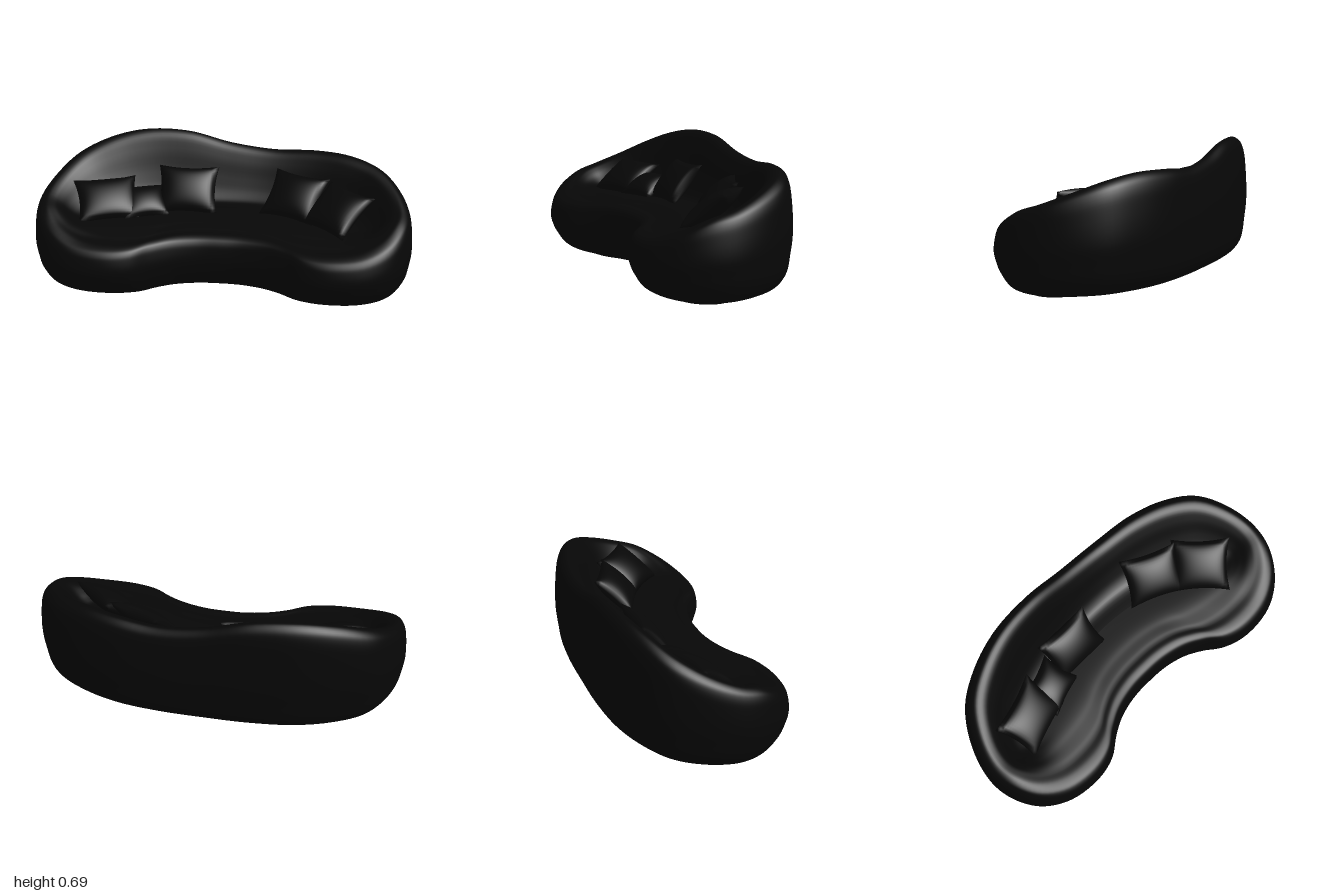
import * as THREE from 'three';
import { mergeVertices } from 'three/addons/utils/BufferGeometryUtils.js';

const material = new THREE.MeshStandardMaterial({ color: 0x070707 });

// Plan outline of one half: x, z, rim height on the +x side, rim height on the -x side
const half = [
  [0, -0.45, 0.615, 0.615], [0.25, -0.447, 0.587, 0.675], [0.5, -0.42, 0.6, 0.687],
  [0.7, -0.355, 0.6, 0.655], [0.86, -0.255, 0.57, 0.595], [0.96, -0.095, 0.515, 0.52],
  [1, 0.08, 0.46, 0.46], [0.975, 0.22, 0.425, 0.425], [0.895, 0.345, 0.37, 0.37],
  [0.76, 0.425, 0.325, 0.325], [0.58, 0.446, 0.31, 0.31], [0.45, 0.415, 0.31, 0.31],
  [0.35, 0.345, 0.315, 0.315], [0.25, 0.292, 0.32, 0.32], [0.12, 0.26, 0.32, 0.32],
  [0, 0.254, 0.32, 0.32],
];
const outline = new THREE.CatmullRomCurve3([
  ...half.map(([x, z, h]) => new THREE.Vector3(x, h, z)),
  ...half.slice(1, -1).reverse().map(([x, z, , h]) => new THREE.Vector3(-x, h, z)),
], true);

// Cross-section: t runs from outline (0) to the curved spine (1); height = k * rim + c
const section = new THREE.CatmullRomCurve3([
  [1, 0, 0.018], [0.6, 0, 0.018], [0.3, 0, 0.02], [0.16, 0, 0.045], [0.07, 0, 0.1],
  [0.025, 0.2, 0.08], [0, 0.4, 0.06], [0.015, 0.7, 0.025], [0.045, 0.88, 0.005],
  [0.09, 0.96, 0], [0.18, 1, 0], [0.28, 0.96, 0.012], [0.38, 0.75, 0.084],
  [0.5, 0.4, 0.2], [0.62, 0.12, 0.295], [0.74, 0, 0.335], [1, 0, 0.335],
].map((p) => new THREE.Vector3(...p)));

// Point on the plan between the outline and the spine
function inset(p, t) {
  const sx = p.x * 0.65;
  const sz = -0.1 + 0.43 * sx * sx;
  return [THREE.MathUtils.lerp(p.x, sx, t), THREE.MathUtils.lerp(p.z, sz, t)];
}

function bodyGeometry(around = 160, rings = 80) {
  const rim = outline.getPoints(around).slice(0, around);
  const positions = [];
  const index = [];
  for (let j = 0; j <= rings; j++) {
    const s = section.getPoint(j / rings);
    for (let i = 0; i < around; i++) {
      const [x, z] = inset(rim[i], s.x);
      const y = s.y * rim[i].y + s.z;
      // the underside dips slightly towards the front
      positions.push(x, y - 0.02 * z * Math.max(0, 1 - y / 0.1), z);
      if (j === rings) continue;
      const a = j * around + i;
      const b = j * around + (i + 1) % around;
      index.push(a, a + around, b, b, a + around, b + around);
    }
  }
  const g = new THREE.BufferGeometry();
  g.setAttribute('position', new THREE.Float32BufferAttribute(positions, 3));
  g.setIndex(index);
  g.computeVertexNormals();
  return g;
}

// Low base under the body, set further in at the back
function plinthGeometry() {
  const pts = outline.getPoints(120).slice(0, 120).map((p) => {
    const t = THREE.MathUtils.lerp(0.65, 0.4, THREE.MathUtils.smoothstep(p.z, -0.45, 0.44));
    return new THREE.Vector2(...inset(p, t));
  });
  const g = new THREE.ExtrudeGeometry(new THREE.Shape(pts), {
    depth: 0.018, bevelThickness: 0.008, bevelSize: 0.012, bevelSegments: 3,
  });
  return g.rotateX(Math.PI / 2).translate(0, 0.026, 0);
}

// Stuffed square pillow with pinched corners and a thin seam
function pillowGeometry(w, h, depth) {
  const g = new THREE.BoxGeometry(2, 2, 2, 18, 18, 1);
  g.deleteAttribute('uv');
  g.deleteAttribute('normal');
  const p = g.attributes.position;
  for (let i = 0; i < p.count; i++) {
    const u = p.getX(i), v = p.getY(i);
    const a = Math.max(0, 1 - u * u), b = Math.max(0, 1 - v * v);
    p.setXYZ(i,
      u * (1 - 0.11 * b * u * u) * w / 2,
      v * (1 - 0.11 * a * v * v) * h / 2,
      Math.sign(p.getZ(i)) * Math.pow(a * b, 0.5) * depth / 2);
  }
  const merged = mergeVertices(g, 1e-5);
  merged.computeVertexNormals();
  return merged;
}

export function createModel() {
  const group = new THREE.Group();
  group.name = 'curvedSofa';
  const add = (name, geometry) => {
    const mesh = new THREE.Mesh(geometry, material);
    mesh.name = name;
    group.add(mesh);
    return mesh;
  };

  add('sofaBody', bodyGeometry());
  add('basePlinth', plinthGeometry());

  // Pillows leaning on the backrest: position, yaw, backward tilt, width, height
  const pillows = [
    [-0.63, 0.41, 0, 0.33, -0.95, 0.34, 0.27],
    [-0.44, 0.38, -0.05, 0.35, -1.1, 0.25, 0.22],
    [-0.21, 0.432, -0.125, 0.02, -0.68, 0.33, 0.27],
    [0.37, 0.43, -0.1, -0.42, -0.82, 0.32, 0.28],
    [0.6, 0.422, 0.035, -0.74, -0.95, 0.32, 0.29],
  ];
  pillows.forEach(([x, y, z, yaw, tilt, w, h], i) => {
    const pillow = add(`pillow${i + 1}`, pillowGeometry(w, h, 0.11));
    pillow.position.set(x, y, z);
    pillow.rotation.set(tilt, yaw, 0, 'YXZ');
  });
  return group;
}
